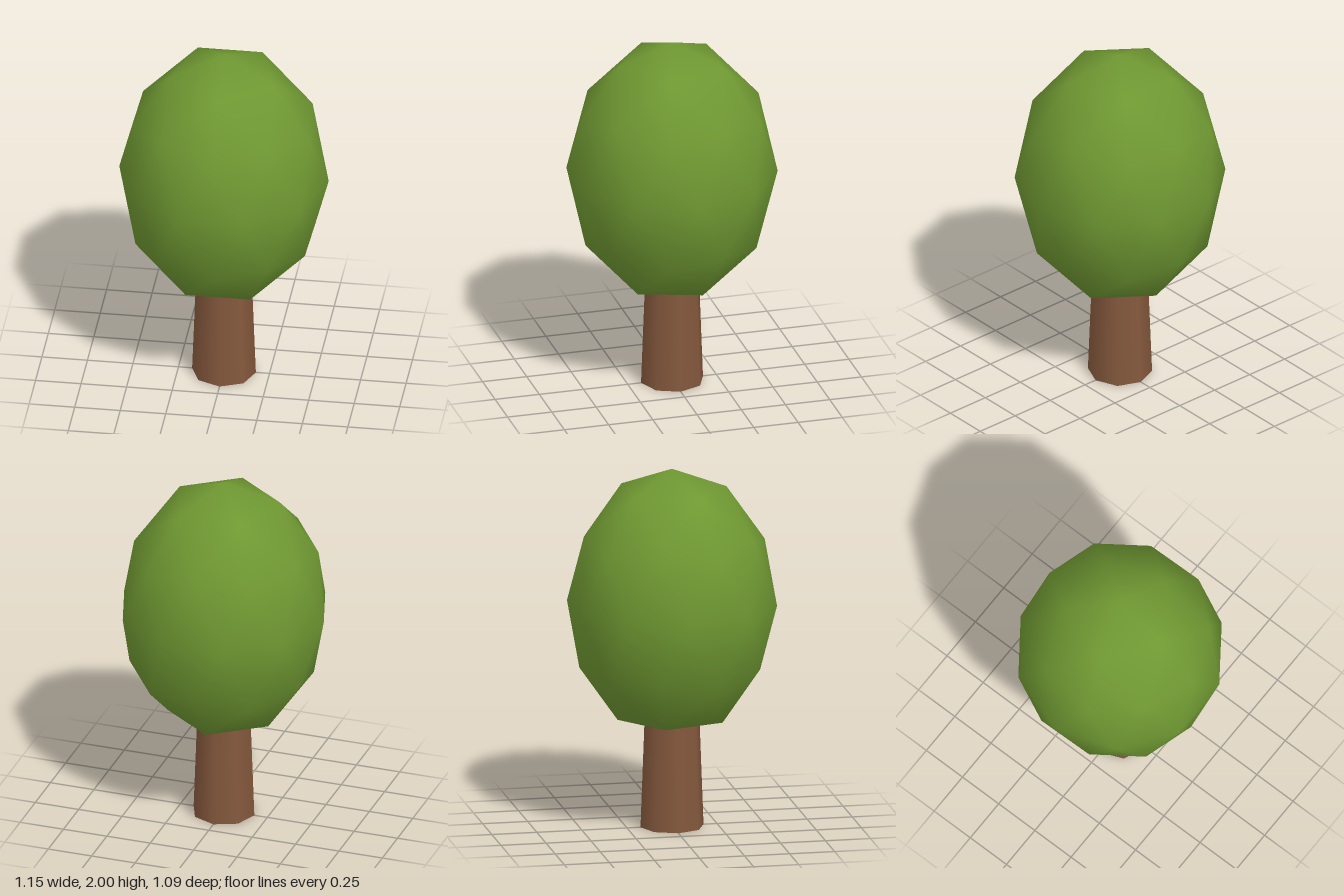
import * as THREE from 'three';

const RADIUS = 0.575, HALF_HEIGHT = 0.752, CENTRE_Y = 1.248;

// Low-poly ball standing on a pole, its lowest point flattened to a pentagon.
function crownGeometry() {
  const geo = new THREE.IcosahedronGeometry(1, 1);
  geo.rotateX(-Math.atan((1 + Math.sqrt(5)) / 2)); // bring one corner to the top
  const pos = geo.attributes.position;
  const normal = geo.attributes.normal;
  const cut = -0.8507;
  const flat = [];
  for (let i = 0; i < pos.count; i += 3) {
    const corners = [i, i + 1, i + 2];
    if (!corners.some((c) => pos.getY(c) < -0.99)) continue;
    for (const c of corners) {
      pos.setY(c, cut);
      flat.push(c);
    }
  }
  geo.scale(RADIUS, HALF_HEIGHT, RADIUS);
  geo.translate(0, CENTRE_Y, 0);
  flat.forEach((c) => normal.setXYZ(c, 0, -1, 0));
  return geo;
}

export function createModel() {
  const tree = new THREE.Group();
  tree.name = 'tree';

  // Leafy crown
  const crown = new THREE.Mesh(
    crownGeometry(),
    new THREE.MeshStandardMaterial({ color: 0x6f9832 })
  );
  crown.name = 'crown';
  tree.add(crown);

  // Tapered eight-sided trunk, open at the bottom
  const height = 0.61;
  const trunk = new THREE.Mesh(
    new THREE.CylinderGeometry(0.152, 0.175, height, 8, 1, true),
    new THREE.MeshStandardMaterial({ color: 0x84583c, side: THREE.DoubleSide })
  );
  trunk.position.y = height / 2;
  trunk.name = 'trunk';
  tree.add(trunk);

  return tree;
}
